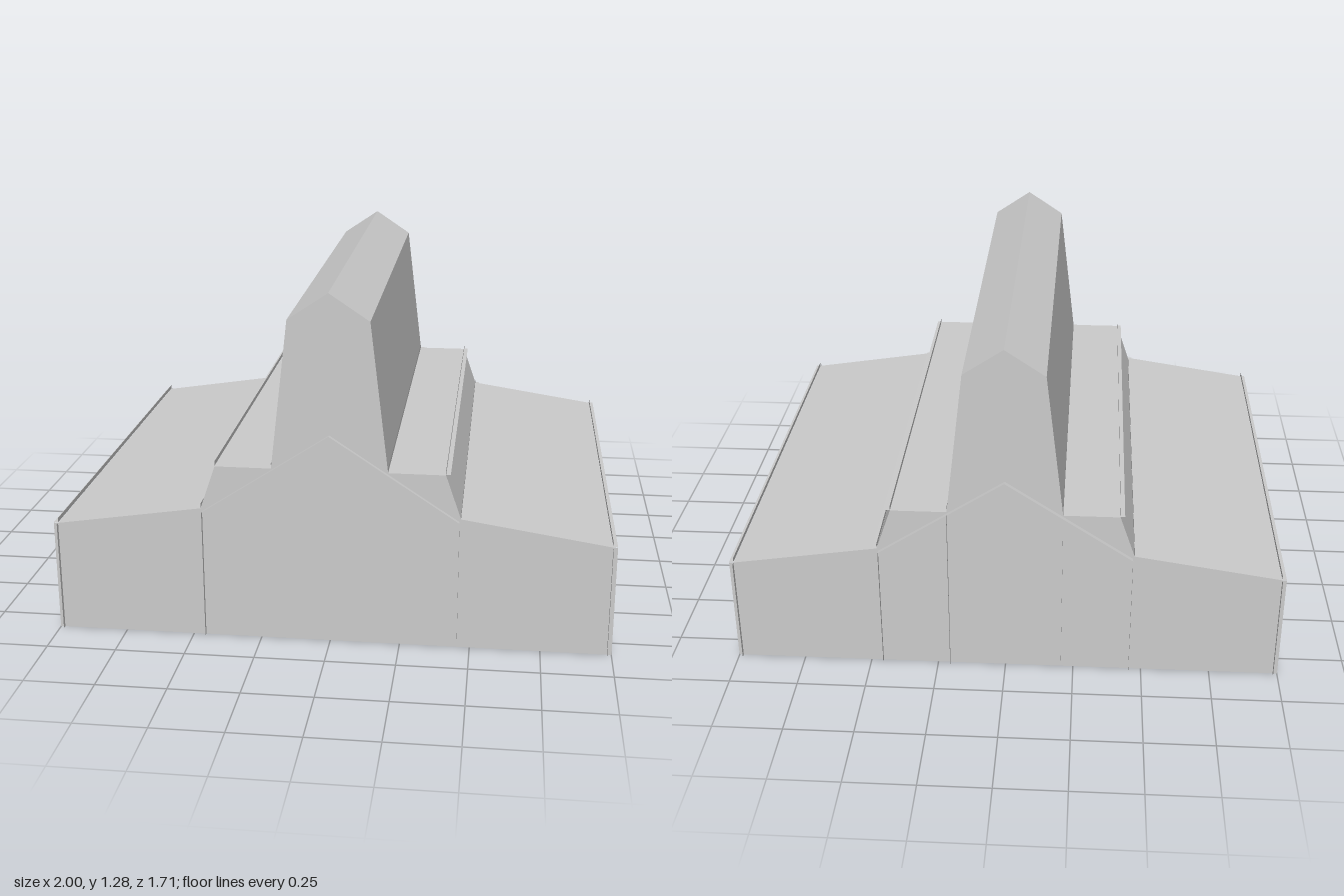
import * as THREE from 'three';

const HALF_DEPTH = 0.84;
const FIN = 0.016;

// Right half of the end section, from the ground to the ridge
const HALF = [
  [0.985, 0], [0.985, 0.41], [0.46, 0.49], [0.405, 0.65],
  [0.205, 0.65], [0.142, 1.185], [0, 1.28],
];

export function createModel() {
  const group = new THREE.Group();
  const material = new THREE.MeshStandardMaterial({ color: 0xcccccc, flatShading: true });
  const finMaterial = new THREE.MeshStandardMaterial({ color: 0xcccccc, side: THREE.DoubleSide });

  // Solid hall with its stepped roof and tall nave
  const mirrored = HALF.slice(0, -1).reverse().map(([x, y]) => [-x, y]);
  const section = new THREE.Shape([...HALF, ...mirrored].map(([x, y]) => new THREE.Vector2(x, y)));
  const body = new THREE.ExtrudeGeometry(section, { depth: 2 * HALF_DEPTH, bevelEnabled: false });
  body.translate(0, 0, -HALF_DEPTH);
  const hall = new THREE.Mesh(body, material);
  hall.name = 'hall';
  group.add(hall);

  // A thin strip standing on the line a-b and reaching out along dir
  function fin(name, a, b, dir) {
    const p = new THREE.Vector3(...a);
    const q = new THREE.Vector3(...b);
    const out = new THREE.Vector3(...dir).multiplyScalar(FIN);
    const corners = [p, q, q.clone().add(out), p.clone().add(out)];
    const geometry = new THREE.BufferGeometry().setFromPoints(corners);
    geometry.setIndex([0, 1, 2, 0, 2, 3]);
    geometry.computeVertexNormals();
    const mesh = new THREE.Mesh(geometry, finMaterial);
    mesh.name = name;
    group.add(mesh);
  }

  for (const s of [-1, 1]) {
    // Trim along the eave and each step of the roof
    for (const [x, y] of HALF.slice(1, 5)) {
      const a = [s * x, y + 0.002, HALF_DEPTH];
      const b = [s * x, y + 0.002, -HALF_DEPTH];
      fin('roofTrimFlat', a, b, [s, 0, 0]);
      fin('roofTrimUpright', a, b, [0, 1, 0]);
    }

    // Posts on the side walls, corners included
    for (const z of [-HALF_DEPTH, -0.28, 0.28, HALF_DEPTH]) {
      fin('sidePost', [s * 0.985, 0, z], [s * 0.985, 0.41, z], [s, 0, 0]);
    }

    // Corner posts, end posts and sloping gable trim on both ends
    for (const e of [-1, 1]) {
      const z = e * HALF_DEPTH;
      fin('cornerPost', [s * 0.985, 0, z], [s * 0.985, 0.41, z], [0, 0, e]);
      fin('endPost', [s * 0.455, 0, z], [s * 0.455, 0.48, z], [0, 0, e]);
      fin('gableTrim', [s * 0.455, 0.48, z], [0, 0.78, z], [0, 0, e]);
    }

    // Extra inner posts on the back
    fin('backPost', [s * 0.205, 0, -HALF_DEPTH], [s * 0.205, 0.645, -HALF_DEPTH], [0, 0, -1]);
  }

  return group;
}
